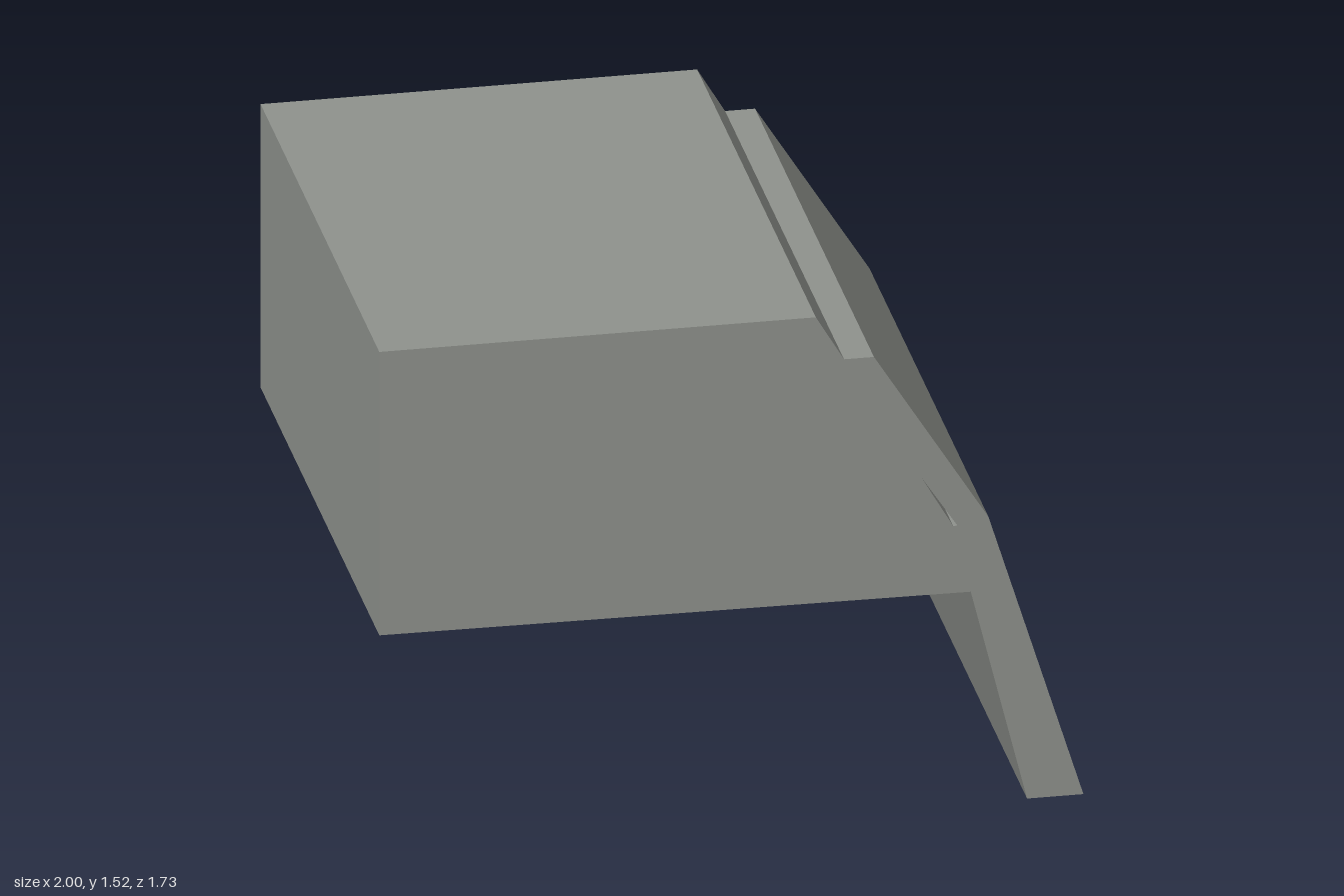
import * as THREE from 'three';

const grey = new THREE.MeshStandardMaterial({ color: 0x8f928d });
grey.name = 'plain grey';

// Extrudes an x-y profile along z from back to front
function slab(name, profile, back, front) {
  const shape = new THREE.Shape(profile.map(([x, y]) => new THREE.Vector2(x, y)));
  const geometry = new THREE.ExtrudeGeometry(shape, { depth: front - back, bevelEnabled: false });
  geometry.translate(0, 0, back);
  const mesh = new THREE.Mesh(geometry, grey);
  mesh.name = name;
  return mesh;
}

export function createModel() {
  const model = new THREE.Group();
  model.name = 'slopedBlock';

  // Main block with a chamfered right side
  model.add(slab('mainBlock', [
    [-1, 0.655], [0.68, 0.645], [0.63, 0.85], [0.54, 1.005],
    [0.32, 1.385], [0.24, 1.52], [-1, 1.52],
  ], -0.862, 0.868));

  // Bent panel lying on the chamfer and reaching the ground, with a narrow gap behind it
  model.add(slab('bentPanel', [
    [0.84, 0], [1, 0], [0.73, 0.87], [0.405, 1.385],
    [0.32, 1.385], [0.54, 1.005], [0.642, 0.85], [0.63, 0.85], [0.68, 0.645],
  ], -0.865, 0.868));

  return model;
}
